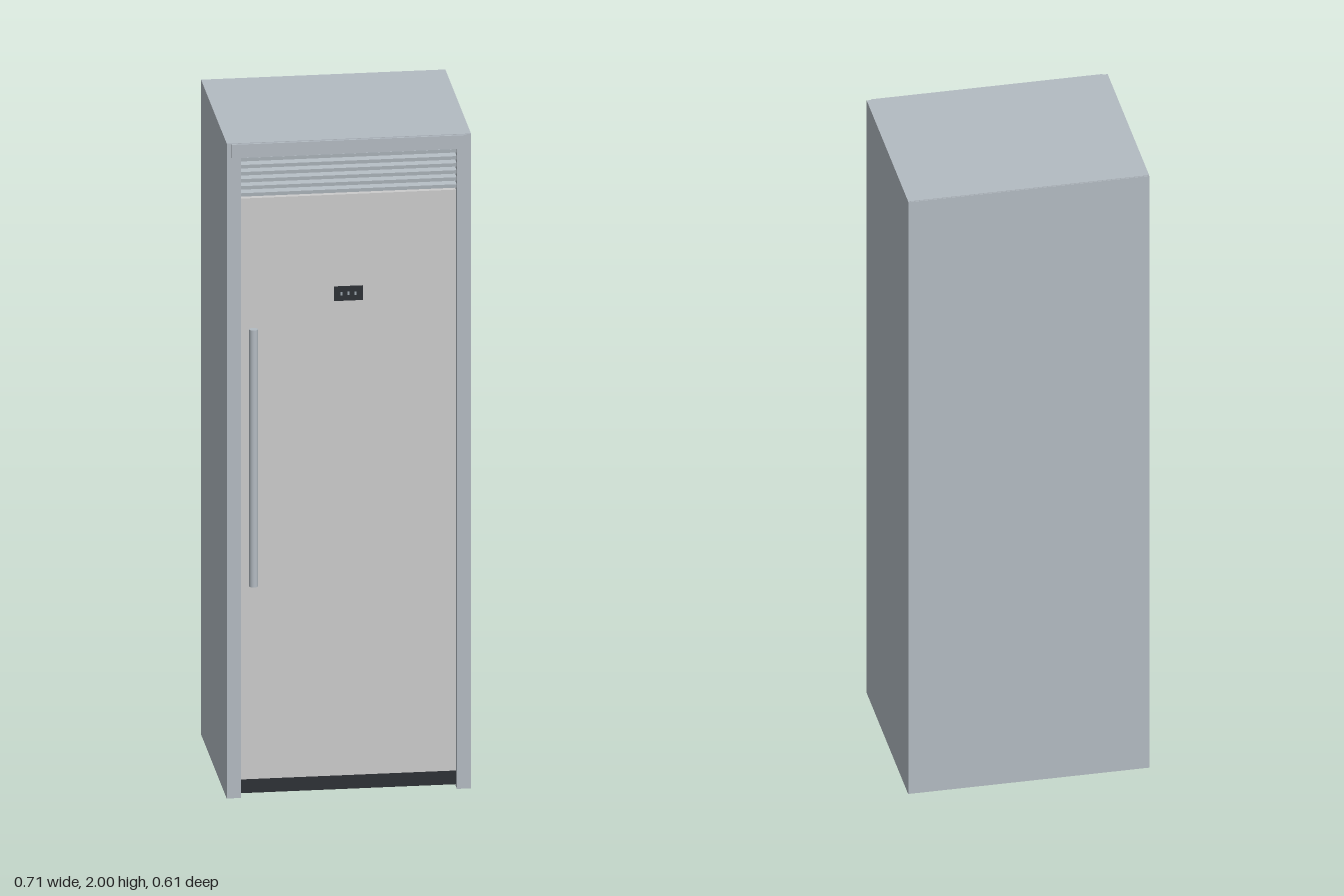
import * as THREE from 'three';

const mat = (color) => new THREE.MeshStandardMaterial({ color });

export function createModel() {
  const model = new THREE.Group();
  const steel = mat(0xb3bbc2), doorGrey = mat(0xcccccc), dark = mat(0x2b2f34), pale = mat(0x9aa4ac);

  const add = (name, geometry, material, x = 0, y = 0, z = 0, parent = model) => {
    const mesh = new THREE.Mesh(geometry, material);
    mesh.name = name;
    mesh.position.set(x, y, z);
    parent.add(mesh);
    return mesh;
  };
  // box given by its limits on each axis
  const box = (name, material, [x0, x1], [y0, y1], [z0, z1], parent) =>
    add(name, new THREE.BoxGeometry(x1 - x0, y1 - y0, z1 - z0), material,
      (x0 + x1) / 2, (y0 + y1) / 2, (z0 + z1) / 2, parent);

  const W = 0.356, inner = 0.315, back = -0.303, front = 0.275, doorZ = 0.262;

  // cabinet shell: U-shaped walls extruded upwards
  const u = new THREE.Shape([
    [-W, -front], [-inner, -front], [-inner, -back - 0.035], [inner, -back - 0.035],
    [inner, -front], [W, -front], [W, -back], [-W, -back],
  ].map(([x, y]) => new THREE.Vector2(x, y)));
  const shell = new THREE.ExtrudeGeometry(u, { depth: 1.96, bevelEnabled: false });
  shell.rotateX(-Math.PI / 2);
  add('cabinetWalls', shell, steel);
  box('topPanel', steel, [-W, W], [1.96, 2], [back, front]);
  box('topTrim', steel, [-0.342, 0.342], [1.957, 1.998], [front - 0.005, 0.282]);
  box('backPanel', steel, [-W, W], [0.002, 1.998], [-0.305, back]);

  // dark base, toe kick and door
  box('base', dark, [-inner, inner], [0.008, 0.03], [back + 0.035, 0.25]);
  box('toeKick', dark, [-inner, inner], [0.008, 0.05], [0.22, 0.256]);
  box('door', doorGrey, [-inner + 0.001, inner - 0.001], [0.052, 1.826], [0.2, doorZ]);

  // ventilation grille with slanted slats
  const grille = new THREE.Group();
  grille.name = 'ventGrille';
  model.add(grille);
  box('grilleBack', dark, [-inner, inner], [1.826, 1.96], [0.2, 0.238], grille);
  for (let i = 0; i < 6; i++) {
    const slat = add('slat', new THREE.BoxGeometry(2 * inner, 0.011, 0.026), steel,
      0, 1.839 + i * 0.0215, 0.25, grille);
    slat.rotation.x = 0.12;
  }

  // control display with plain indicator bars
  const display = new THREE.Group();
  display.name = 'display';
  model.add(display);
  box('displayPanel', dark, [-0.042, 0.042], [1.502, 1.546], [doorZ - 0.005, doorZ + 0.003], display);
  for (const x of [-0.02, 0, 0.02])
    box('indicator', pale, [x - 0.003, x + 0.003], [1.519, 1.529], [doorZ, doorZ + 0.004], display);

  // bar handle on two posts
  const handle = new THREE.Group();
  handle.name = 'handle';
  model.add(handle);
  add('handleBar', new THREE.CylinderGeometry(0.0125, 0.0125, 0.785, 32), steel, -0.28, 1.0425, 0.29, handle);
  for (const y of [0.675, 1.41]) {
    const post = add('handlePost', new THREE.CylinderGeometry(0.008, 0.008, 0.035, 20), steel, -0.28, y, 0.272, handle);
    post.rotation.x = Math.PI / 2;
  }
  return model;
}
